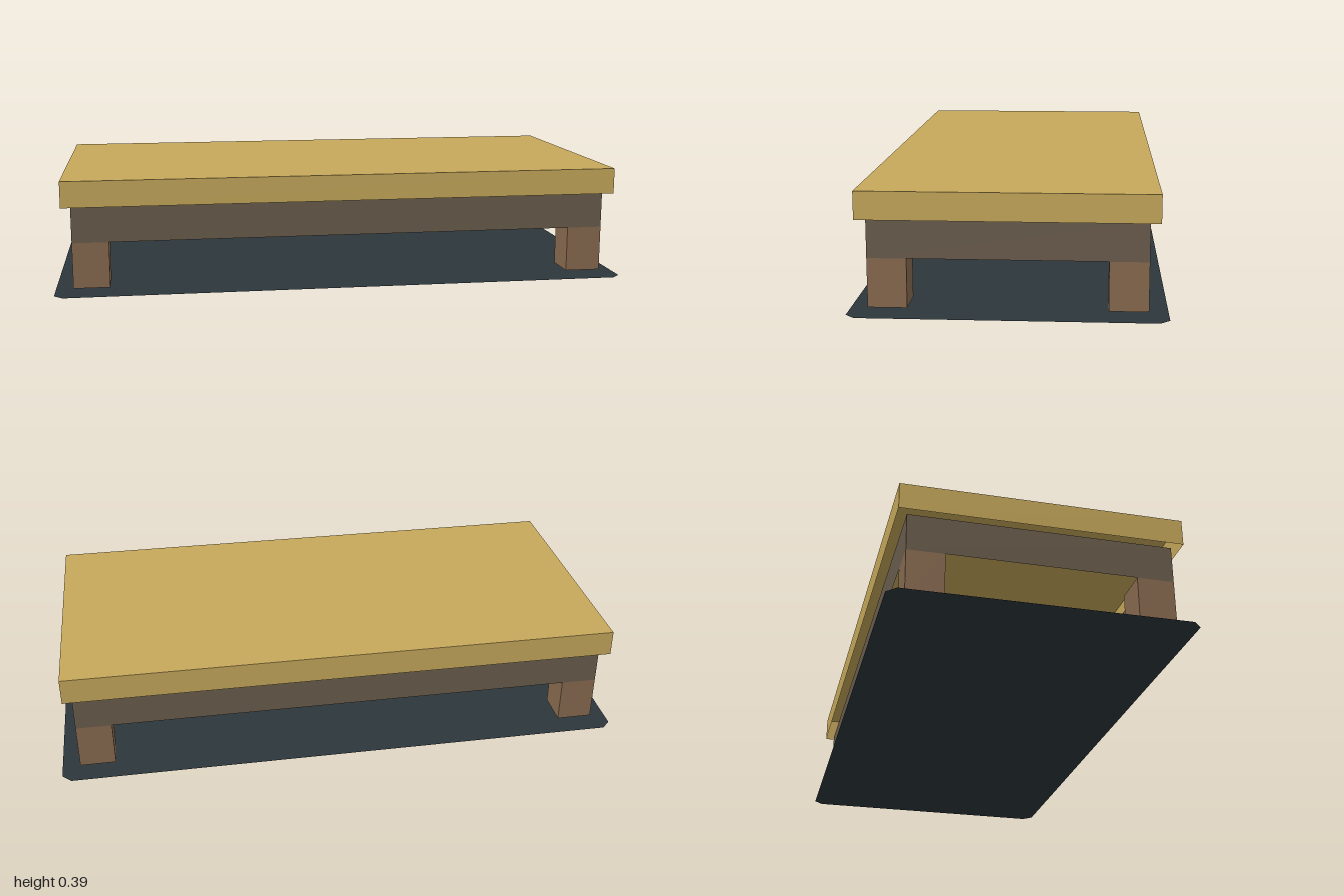
import * as THREE from 'three';

const flat = (name, color) => {
  const m = new THREE.MeshStandardMaterial({ color, side: THREE.DoubleSide });
  m.name = name;
  return m;
};

// Box with chosen faces left out (0 +x, 1 -x, 2 +y, 3 -y, 4 +z, 5 -z)
function openBox(w, h, d, skip) {
  const geo = new THREE.BoxGeometry(w, h, d);
  const index = Array.from(geo.index.array).filter((_, i) => !skip.includes(Math.floor(i / 6)));
  geo.setIndex(index);
  geo.clearGroups();
  return geo;
}

export function createModel() {
  const group = new THREE.Group();
  const straw = flat('straw yellow', 0xc6a85b);
  const darkWood = flat('grey brown wood', 0x695c4c);
  const legWood = flat('warm brown wood', 0x886a4f);
  const slate = flat('dark slate', 0x2c363c);

  const add = (name, geo, mat, x, y, z) => {
    const mesh = new THREE.Mesh(geo, mat);
    mesh.name = name;
    mesh.position.set(x, y, z);
    group.add(mesh);
    return mesh;
  };

  // Top: shell open underneath
  const y0 = 0.016, y1 = 0.174, y2 = 0.301, y3 = 0.391;
  add('top', openBox(1.935, y3 - y2, 0.936, [3]), straw, 0, (y2 + y3) / 2, 0);

  // Apron: thin frame, open above and below
  add('apron', openBox(1.874, y2 - y1, 0.874, [2, 3]), darkWood, 0, (y1 + y2) / 2, 0);

  // Four square legs, flush with the apron
  const legGeo = new THREE.BoxGeometry(0.124, y1 - y0, 0.124);
  for (const sx of [-1, 1]) for (const sz of [-1, 1]) {
    add(`${sz > 0 ? 'front' : 'back'}${sx > 0 ? 'Left' : 'Right'}Leg`, legGeo, legWood,
      sx * 0.875, (y0 + y1) / 2, sz * 0.375);
  }

  // Flat ground plate with clipped corners
  const c = 0.031;
  const plate = new THREE.Shape([
    [1, 0.5 - c], [1 - c, 0.5], [c - 1, 0.5], [-1, 0.5 - c],
    [-1, c - 0.5], [c - 1, -0.5], [1 - c, -0.5], [1, c - 0.5],
  ].map(([x, y]) => new THREE.Vector2(x, y)));
  add('groundPlate', new THREE.ShapeGeometry(plate).rotateX(-Math.PI / 2), slate, 0, 0, 0);

  return group;
}
